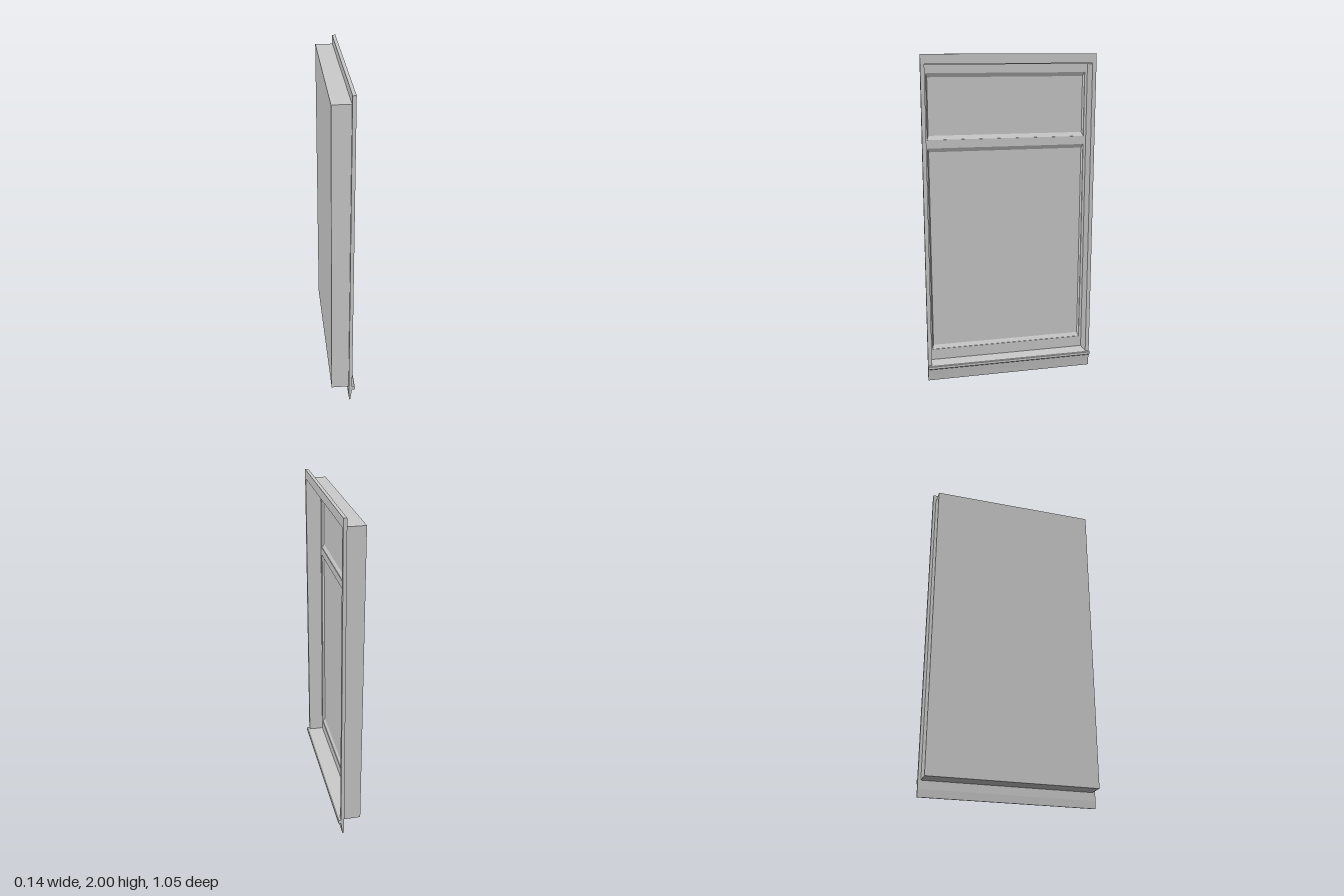
import * as THREE from 'three';

const grey = new THREE.MeshStandardMaterial({ color: 0xcccccc, flatShading: true });

// The window faces +x; its width runs along z.
const BACK = -0.072, WALL = 0.033, FACE = 0.053;
const HALF = 0.51, OUTER = 0.527, INNER = 0.503;
const SASH = -0.04, GLASS = -0.055;

export function createModel() {
  const model = new THREE.Group();

  const add = (name, geometry) => {
    const mesh = new THREE.Mesh(geometry, grey);
    mesh.name = name;
    model.add(mesh);
    return mesh;
  };

  // Box given by its limits on each axis
  const box = (name, x0, x1, y0, y1, z0, z1) => {
    const g = new THREE.BoxGeometry(x1 - x0, y1 - y0, z1 - z0);
    g.translate((x0 + x1) / 2, (y0 + y1) / 2, (z0 + z1) / 2);
    return add(name, g);
  };

  // Cross-section in x, y drawn out along the width
  const moulding = (name, points, width) => {
    const shape = new THREE.Shape(points.map(([x, y]) => new THREE.Vector2(x, y)));
    const g = new THREE.ExtrudeGeometry(shape, { depth: width, bevelEnabled: false });
    g.translate(0, 0, -width / 2);
    return add(name, g);
  };

  const rectangle = (PathType, y0, y1, half) => new PathType([
    [-half, y0], [half, y0], [half, y1], [-half, y1],
  ].map(([u, v]) => new THREE.Vector2(u, v)));

  // Sloping mitred bead from the sash face down to the pane
  const bead = (name, y0, y1, half) => {
    const corners = (dy, dz, x) => [
      [x, y0 + dy, -half + dz], [x, y1 - dy, -half + dz],
      [x, y1 - dy, half - dz], [x, y0 + dy, half - dz],
    ];
    const outer = corners(0, 0, SASH - 0.004), inner = corners(0.024, 0.009, GLASS);
    const positions = [];
    for (let i = 0; i < 4; i++) {
      const j = (i + 1) % 4;
      for (const p of [outer[i], outer[j], inner[j], outer[i], inner[j], inner[i]]) positions.push(...p);
    }
    const g = new THREE.BufferGeometry();
    g.setAttribute('position', new THREE.Float32BufferAttribute(positions, 3));
    g.computeVertexNormals();
    return add(name, g);
  };

  // Frame box: back pane and the boards around it
  box('pane', BACK, GLASS, 0.1, 1.945, -INNER, INNER);
  box('headJamb', BACK, WALL, 1.94, 1.95, -HALF, HALF);
  for (const side of [-1, 1]) {
    const [z0, z1] = [side * INNER, side * HALF].sort((a, b) => a - b);
    box(side > 0 ? 'leftJamb' : 'rightJamb', BACK, WALL, 0.1, 1.94, z0, z1);
  }
  box('bottomBoard', BACK, WALL, 0.094, 0.101, -HALF, HALF);

  // Sash frame with an upper and a lower light
  const lights = [['lower', 0.17, 1.45], ['upper', 1.5, 1.89]];
  const sash = rectangle(THREE.Shape, 0.1, 1.942, INNER);
  for (const [, y0, y1] of lights) sash.holes.push(rectangle(THREE.Path, y0, y1, 0.487));
  const sashGeometry = new THREE.ExtrudeGeometry(sash, { depth: SASH - GLASS, bevelEnabled: false });
  sashGeometry.rotateY(Math.PI / 2);
  sashGeometry.translate(GLASS, 0, 0);
  add('sashFrame', sashGeometry);
  for (const [name, y0, y1] of lights) bead(name + 'Bead', y0, y1, 0.487);

  // Casing around the opening
  box('headCasing', WALL, FACE, 1.945, 2, -OUTER, OUTER);
  for (const side of [-1, 1]) {
    const [z0, z1] = [side * INNER, side * OUTER].sort((a, b) => a - b);
    box(side > 0 ? 'leftCasing' : 'rightCasing', WALL, FACE, 0.1, 1.945, z0, z1);
  }

  // Projecting sill and the tapered apron under it
  moulding('sill', [[WALL, 0.08], [0.066, 0.08], [0.07, 0.084], [0.07, 0.099], [0.066, 0.103], [WALL, 0.103]], 2 * OUTER);
  moulding('apron', [[0.036, 0], [0.043, 0], [0.047, 0.035], [0.053, 0.08], [WALL, 0.08], [WALL, 0.045]], 2 * OUTER);

  return model;
}
